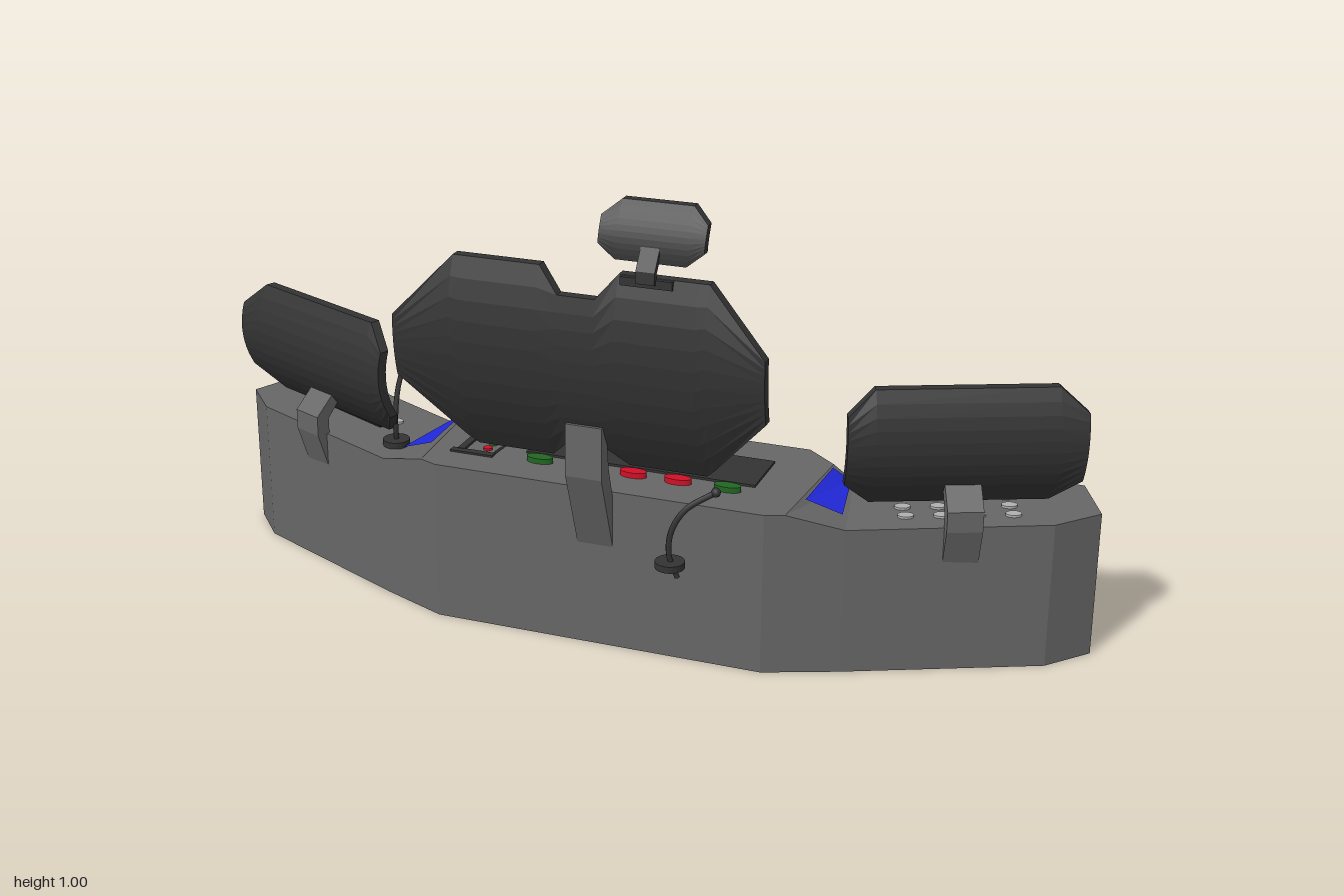
import * as THREE from 'three';

const GREY = 0x666666, DARK = 0x333333, SCREEN = 0x1190e2, BLUE = 0x2229dd, CYAN = 0x52e2ee;
const RED = 0xd01028, GREEN = 0x226622, SILVER = 0xb0b0b0;

function add(parent, name, geo, color, flat = true) {
  const mat = new THREE.MeshStandardMaterial({ color, flatShading: flat, side: THREE.DoubleSide });
  const mesh = new THREE.Mesh(geo, mat);
  mesh.name = name;
  parent.add(mesh);
  return mesh;
}

// Flat polygons (corner lists) to one geometry, optionally mirrored in x
function faces(polys, mirror = false) {
  const pos = [];
  const fan = p => {
    for (let i = 1; i < p.length - 1; i++) pos.push(...p[0], ...p[i], ...p[i + 1]);
  };
  for (const p of polys) {
    fan(p);
    if (mirror) {
      const [first, ...rest] = p.map(([x, y, z]) => [-x, y, z]);
      fan([first, ...rest.reverse()]);
    }
  }
  const g = new THREE.BufferGeometry();
  g.setAttribute('position', new THREE.Float32BufferAttribute(pos, 3));
  g.computeVertexNormals();
  return g;
}

// Curved slab from columns [x, bottom, top]; z follows y
function addScreen(parent, name, cols, zAt, t, inset) {
  const rows = 10, polys = [], glass = [];
  const pt = (c, j, off) => {
    const y = c[1] + (c[2] - c[1]) * j / rows;
    return [c[0], y, zAt(y) - off];
  };
  const quad = (a, b, j, off) => [pt(b, j, off), pt(a, j, off), pt(a, j + 1, off), pt(b, j + 1, off)];
  const n = cols.length - 1;
  const ys = cols.flatMap(c => [c[1], c[2]]);
  const cy = (Math.min(...ys) + Math.max(...ys)) / 2, cx = (cols[0][0] + cols[n][0]) / 2;
  const s = v => cy + (v - cy) * inset[1];
  const small = cols.map(c => [cx + (c[0] - cx) * inset[0], s(c[1]), s(c[2])]);
  for (let i = 0; i < n; i++) {
    const a = cols[i], b = cols[i + 1];
    for (let j = 0; j < rows; j++) {
      polys.push(quad(b, a, j, 0), quad(a, b, j, t));
      glass.push(quad(small[i], small[i + 1], j, t + 0.003));
    }
    polys.push([pt(a, rows, 0), pt(b, rows, 0), pt(b, rows, t), pt(a, rows, t)]);
    polys.push([pt(a, 0, t), pt(b, 0, t), pt(b, 0, 0), pt(a, 0, 0)]);
  }
  for (let j = 0; j < rows; j++) {
    const a = cols[0], b = cols[n];
    polys.push([pt(a, j, t), pt(a, j, 0), pt(a, j + 1, 0), pt(a, j + 1, t)]);
    polys.push([pt(b, j, 0), pt(b, j, t), pt(b, j + 1, t), pt(b, j + 1, 0)]);
  }
  add(parent, name + 'Frame', faces(polys), DARK);
  add(parent, name + 'Glass', faces(glass), SCREEN);
}

// Bent support arm from a side profile [z, y]
function addArm(parent, name, profile, width, color) {
  const g = new THREE.ExtrudeGeometry(new THREE.Shape(profile.map(([z, y]) => new THREE.Vector2(-z, y))),
    { depth: width, bevelEnabled: false });
  g.translate(0, 0, -width / 2).rotateY(Math.PI / 2);
  add(parent, name, g, color);
}

function addTube(parent, name, pts, r, color) {
  const curve = new THREE.CatmullRomCurve3(pts.map(p => new THREE.Vector3(...p)));
  add(parent, name, new THREE.TubeGeometry(curve, 14, r, 6), color, false);
}

function addDisc(parent, name, x, y, z, rx, rz, h, color) {
  const m = add(parent, name, new THREE.CylinderGeometry(1, 1, h, 20).scale(rx, 1, rz), color);
  m.position.set(x, y, z);
}

function addBox(parent, name, size, at, color) {
  const m = add(parent, name, new THREE.BoxGeometry(...size), color);
  m.position.set(...at);
}

// Gooseneck microphone on a round foot, leaning towards local +x
function addMicrophone(parent, x, y, z, turn) {
  const g = new THREE.Group();
  g.name = 'microphone';
  addDisc(g, 'microphoneFoot', 0, 0, 0, 0.03, 0.03, 0.014, DARK);
  addTube(g, 'microphoneStem', [[0.015, -0.03, 0], [-0.002, 0.02, 0], [0.002, 0.07, 0], [0.03, 0.115, 0], [0.09, 0.148, 0]], 0.006, DARK);
  const head = add(g, 'microphoneHead', new THREE.SphereGeometry(0.01, 10, 8), DARK, false);
  head.position.set(0.09, 0.148, 0);
  g.position.set(x, y, z);
  g.rotation.y = turn;
  parent.add(g);
}

function addDesk(root) {
  // Corners of the +x half: rim and top plates
  const A = [0, 0.36, 0.133], B0 = [0.37, 0.36, 0.133], B = [0.41, 0.36, 0.117], C = [0.525, 0.325, 0.07];
  const D = [0.92, 0.325, -0.11], E = [1, 0.325, -0.2], Fk = [0.941, 0.325, -0.335];
  const F = [0.92, 0.285, -0.382], G = [0.8, 0.285, -0.385];
  const H = [0.44, 0.3, -0.21], I = [0.365, 0.325, -0.275], J = [0, 0.325, -0.275];
  const Jk = [0, 0.36, -0.235], K = [0.36, 0.36, -0.235], N = [0.43, 0.36, -0.175];
  const W = [0.475, 0.325, -0.18], Gk = [0.815, 0.325, -0.345];
  // Knee-space corners
  const R2 = [0.78, 0.285, -0.13], R1 = [0.53, 0.285, -0.025], P = [0.285, 0.325, 0.035], Q = [0, 0.325, 0.035];

  const polys = [
    [A, B0, B, N, K, Jk], [B, C, W, N], [N, W, H], [W, C, D, E, Fk, Gk],
    [Jk, K, I, J], [K, N, H, I], [W, Gk, G, H], [Gk, Fk, F, G],
    [G, R2, R1, H], [J, I, P, Q],
  ];
  const path = [A, B0, B, C, D, E, Fk, F, G, R2, R1, H, I, P, Q];
  const low = ([x, , z]) => [x, 0, z];
  for (let i = 0; i < path.length - 1; i++) {
    polys.push([low(path[i]), low(path[i + 1]), path[i + 1], path[i]]);
  }
  const outline = path.map(p => new THREE.Vector2(p[0], -p[2]));
  for (const t of THREE.ShapeUtils.triangulateShape(outline, [])) {
    polys.push(t.map(i => low(path[i])).reverse());
  }
  add(root, 'desk', faces(polys, true), GREY);

  // Panels lying on a wall from a to b
  const onWall = (a, b, s0, s1, y0, y1, off = 0.003) => {
    const dx = b[0] - a[0], dz = b[2] - a[2], l = Math.hypot(dx, dz);
    const p = (s, y) => [a[0] + dx * s - dz / l * off, y, a[2] + dz * s + dx / l * off];
    return [p(s0, y0), p(s1, y0), p(s1, y1), p(s0, y1)];
  };
  add(root, 'lightPanels', faces([onWall(H, I, 0.25, 0.75, 0.08, 0.23), onWall(R1, H, 0.02, 0.46, 0.02, 0.27)], true), CYAN);

  // Low ledges inside the middle knee space
  const [, b0, b1] = onWall(I, P, 0, 0.97, 0, 0.125, 0.025);
  const a0 = low(I), top = [I[0], 0.125, I[2]], inner = [P[0], 0.125, P[2]];
  add(root, 'kneeLedges', faces([[a0, b0, b1, top]], true), GREY);
  add(root, 'kneeLedgeLights', faces([[top, b1, inner], [b0, low(P), inner, b1],
    onWall(a0, b0, 0.94, 1, 0, 0.125)], true), BLUE);

  // Blue insets on the sloped joints and the wing ends
  const on = (p, q, r, s, u, v, lift) => [0, 1, 2].map(i =>
    (p[i] * (1 - u) + q[i] * u) * (1 - v) + (r[i] * (1 - u) + s[i] * u) * v + (i === 1 ? lift : 0));
  const joint = (u, v) => on(N, W, B, C, u, v, 0.006), end = (u, v) => on(Gk, Fk, G, F, u, v, 0.003);
  add(root, 'blueInsets', faces([
    [joint(0.12, 0.71), joint(0.9, 0.77), joint(0.9, 0.08), joint(0.12, 0.08)],
    [end(0.08, 0.1), end(0.85, 0.1), end(0.9, 0.95), end(0.05, 0.95)],
  ], true), BLUE);
}

function addControls(root) {
  addBox(root, 'consolePanel', [0.52, 0.006, 0.14], [0.05, 0.362, -0.065], DARK);
  [[-0.165, GREEN], [-0.06, GREEN], [0.05, RED], [0.15, RED], [0.26, GREEN]].forEach(([x, c]) =>
    addDisc(root, 'button', x, 0.365, 0.037, 0.03, 0.015, 0.014, c));

  // Handset unit with cord
  addBox(root, 'handset', [0.016, 0.006, 0.11], [-0.35, 0.362, -0.015], DARK);
  addBox(root, 'handsetBand', [0.026, 0.008, 0.016], [-0.348, 0.363, -0.048], BLUE);
  addBox(root, 'handsetPad', [0.1, 0.004, 0.018], [-0.32, 0.362, 0.046], DARK);
  addTube(root, 'handsetCord', [[-0.35, 0.361, -0.07], [-0.37, 0.361, -0.13], [-0.32, 0.361, -0.15],
    [-0.275, 0.361, -0.145], [-0.275, 0.361, -0.1], [-0.27, 0.361, -0.02], [-0.275, 0.361, 0.045]], 0.003, DARK);
  [[-0.07, RED], [-0.015, GREEN], [0.015, RED]].forEach(([z, c]) =>
    addDisc(root, 'handsetLight', -0.297, 0.362, z, 0.01, 0.01, 0.006, c));

  // Wing controls, turned with each wing
  const right = new THREE.Group(), left = new THREE.Group();
  right.name = 'wingKeypad';
  left.name = 'wingSlider';
  right.position.set(0.7, 0.326, -0.147);
  right.rotation.y = 0.4;
  left.position.set(-0.705, 0.326, -0.145);
  left.rotation.y = -0.44;
  for (let i = 0; i < 4; i++) {
    for (let j = 0; j < 4; j++) {
      addDisc(right, 'key', (i - 1.5) * 0.075, 0, (j - 1.5) * 0.045, 0.017, 0.013, 0.008, SILVER);
    }
    addDisc(left, 'knob', (i - 1.2) * 0.06, 0, -0.04, 0.014, 0.01, 0.008, SILVER);
  }
  addBox(left, 'sliderSlot', [0.21, 0.012, 0.022], [0, 0, 0], 0x181818);
  root.add(right, left);

  addMicrophone(root, 0.245, 0.327, 0.35, 0.51);
  addMicrophone(root, -0.535, 0.332, -0.015, 1.79);
}

export function createModel() {
  const root = new THREE.Group();
  root.name = 'controlDesk';
  addDesk(root);
  addControls(root);

  // Main screen with notches at top and bottom centre
  const half = [[0.401, 0.59, 0.727], [0.275, 0.447, 0.86], [0.254, 0.426, 0.86], [0.085, 0.426, 0.86], [0.04, 0.47, 0.807]];
  const main = [...half.map(([x, a, b]) => [-x, a, b]), ...half.slice().reverse()].map(([x, a, b]) => [x - 0.008, a, b]);
  addScreen(root, 'mainScreen', main, y => 0.228 - 1.3 * (y - 0.7) ** 2, 0.024, [0.93, 0.92]);
  addArm(root, 'mainScreenArm', [[0.13, 0.225], [0.197, 0.41], [0.195, 0.525], [0.17, 0.525], [0.155, 0.42], [0.13, 0.34]], 0.08, GREY);

  // Small upper screen and its bracket
  addScreen(root, 'upperScreen', [[0.027, 0.915, 0.968], [0.064, 0.886, 0.998], [0.214, 0.886, 0.998], [0.25, 0.915, 0.968]],
    y => 0.184 - 3.8 * (y - 0.888) ** 2, 0.02, [0.9, 0.82]);
  const bracket = new THREE.Group();
  bracket.name = 'upperScreenBracket';
  bracket.position.x = 0.138;
  addArm(bracket, 'bracketArm', [[0.19, 0.845], [0.212, 0.85], [0.21, 0.875], [0.175, 0.925], [0.168, 0.91], [0.198, 0.87]], 0.04, DARK);
  addBox(bracket, 'bracketFoot', [0.11, 0.018, 0.03], [0, 0.85, 0.19], DARK);
  root.add(bracket);

  // Side screens on the wings
  for (const s of [1, -1]) {
    const g = new THREE.Group();
    g.name = s > 0 ? 'leftScreen' : 'rightScreen';
    g.position.set(s * 0.75, 0, -0.018);
    g.rotation.y = s * 0.41;
    const cols = [[-0.245, 0.417, 0.572], [-0.187, 0.36, 0.622], [0.187, 0.36, 0.622], [0.245, 0.417, 0.572]];
    addScreen(g, 'sideScreen', cols, y => -3 * (y - 0.515) ** 2, 0.022, [0.92, 0.88]);
    addArm(g, 'sideScreenArm', [[-0.02, 0.225], [0.012, 0.325], [0.012, 0.37], [-0.042, 0.422], [-0.06, 0.405],
      [-0.02, 0.36], [-0.02, 0.29]], 0.075, GREY);
    root.add(g);
  }
  return root;
}
